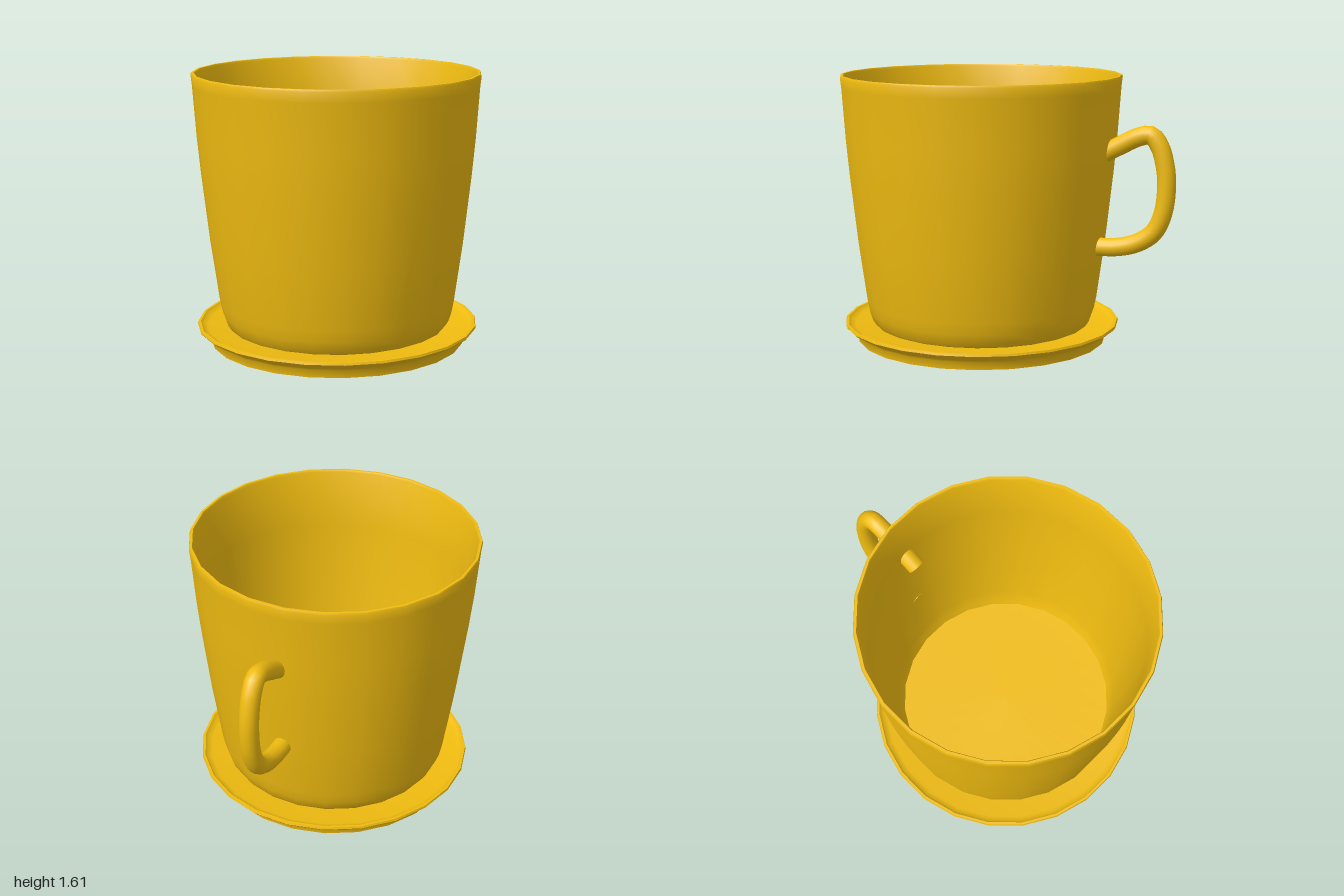
import * as THREE from 'three';
import { toCreasedNormals } from 'three/addons/utils/BufferGeometryUtils.js';

const SIDES = 24;
const TUBE_RADIUS = 0.055;

// Turned part: the profile runs from the axis underneath, up the outside and back in
function turned(name, profile, material) {
  const points = profile.map(([r, y]) => new THREE.Vector2(r, y));
  const lathe = new THREE.LatheGeometry(points, SIDES, Math.PI / SIDES);
  const mesh = new THREE.Mesh(toCreasedNormals(lathe, 0.6), material);
  mesh.name = name;
  return mesh;
}

export function createModel() {
  const model = new THREE.Group();
  model.name = 'mugOnSaucer';
  const yellow = new THREE.MeshStandardMaterial({ color: 0xf0bc10 });

  // Everything round shares one axis, set forward to balance the handle
  const body = new THREE.Group();
  body.name = 'body';
  body.position.z = 0.155;
  model.add(body);

  // Tapered cup with a thin wall and rounded foot
  body.add(turned('cup', [
    [0, 0.09], [0.63, 0.09], [0.655, 0.1], [0.675, 0.13], [0.692, 0.18], [0.706, 0.25],
    [0.755, 0.61], [0.8, 1.02], [0.82, 1.24], [0.84, 1.54], [0.847, 1.6], [0.842, 1.612],
    [0.828, 1.612], [0.822, 1.6], [0.8, 1.24], [0.78, 1.02], [0.735, 0.61],
    [0.686, 0.25], [0.672, 0.18], [0.655, 0.13], [0, 0.12],
  ], yellow));

  // Saucer with a recessed underside and a flared, lipped rim
  body.add(turned('saucer', [
    [0, 0.045], [0.742, 0.045], [0.748, 0], [0.76, 0], [0.766, 0.045], [0.778, 0.06],
    [0.832, 0.09], [0.84, 0.1], [0.836, 0.113], [0.822, 0.113], [0.81, 0.1],
    [0.78, 0.092], [0, 0.092],
  ], yellow));

  // Handle drawn in a radial plane (distance from axis, height), turned to the back right
  const path = new THREE.CatmullRomCurve3([
    [0.72, 1.14], [0.86, 1.215], [0.98, 1.275], [1.055, 1.288], [1.105, 1.23], [1.14, 1.12],
    [1.152, 1.0], [1.135, 0.84], [1.08, 0.72], [0.98, 0.65], [0.86, 0.617], [0.735, 0.61],
  ].map(([r, y]) => new THREE.Vector3(0, y, -r)));
  const handle = new THREE.Group();
  handle.name = 'handle';
  handle.rotation.y = 0.313;
  const grip = new THREE.Mesh(new THREE.TubeGeometry(path, 48, TUBE_RADIUS, 16), yellow);
  grip.name = 'handleGrip';
  handle.add(grip);

  // Flat ends of the handle
  for (const [t, sign] of [[0, -1], [1, 1]]) {
    const cap = new THREE.Mesh(new THREE.CircleGeometry(TUBE_RADIUS, 16), yellow);
    cap.name = 'handleEnd';
    cap.position.copy(path.getPointAt(t));
    cap.quaternion.setFromUnitVectors(
      new THREE.Vector3(0, 0, 1), path.getTangentAt(t).multiplyScalar(sign));
    handle.add(cap);
  }
  body.add(handle);
  return model;
}
